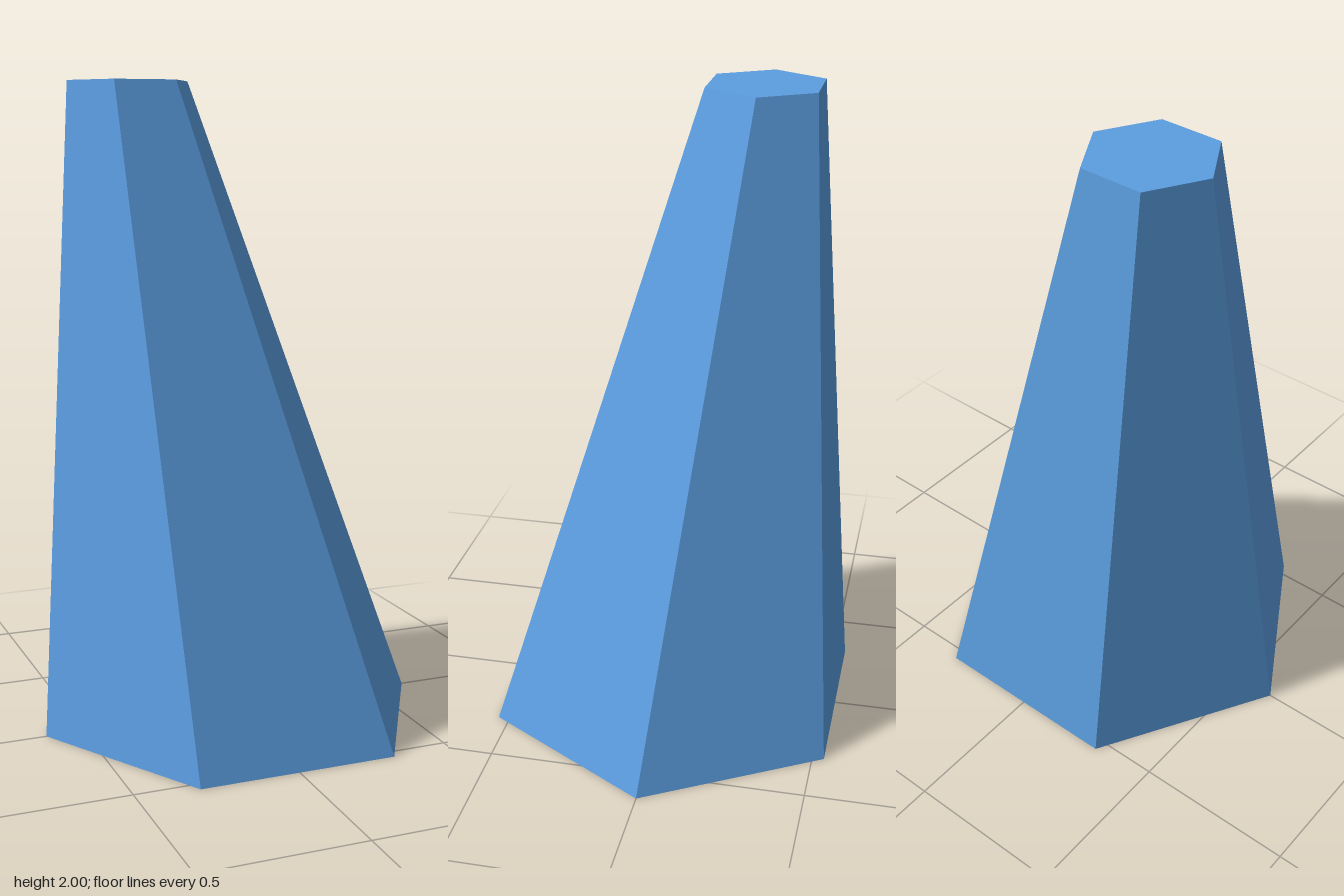
import * as THREE from 'three';

const HEIGHT = 2;
const BASE_RADIUS = 0.62;
const TOP_RADIUS = 0.195;
const TOP_X = -0.26;
const TOP_Z = -0.215;

export function createModel() {
  const group = new THREE.Group();
  group.name = 'leaningFrustum';

  const blue = new THREE.MeshStandardMaterial({ color: 0x5b9de0, flatShading: true });
  blue.name = 'blue';

  // Tapered hexagonal prism with corners on the x axis, standing on y = 0
  const tapered = new THREE.CylinderGeometry(TOP_RADIUS, BASE_RADIUS, HEIGHT, 6, 1, false, Math.PI / 2);
  tapered.translate(0, HEIGHT / 2, 0);

  // Lean it so the top is offset towards the back right
  const lean = new THREE.Matrix4().set(
    1, TOP_X / HEIGHT, 0, 0,
    0, 1, 0, 0,
    0, TOP_Z / HEIGHT, 1, 0,
    0, 0, 0, 1
  );
  tapered.applyMatrix4(lean);

  // Separate the faces for crisp, flat sides
  const geometry = tapered.toNonIndexed();
  geometry.clearGroups();
  geometry.computeVertexNormals();

  const body = new THREE.Mesh(geometry, blue);
  body.name = 'hexagonalBody';
  group.add(body);
  return group;
}
